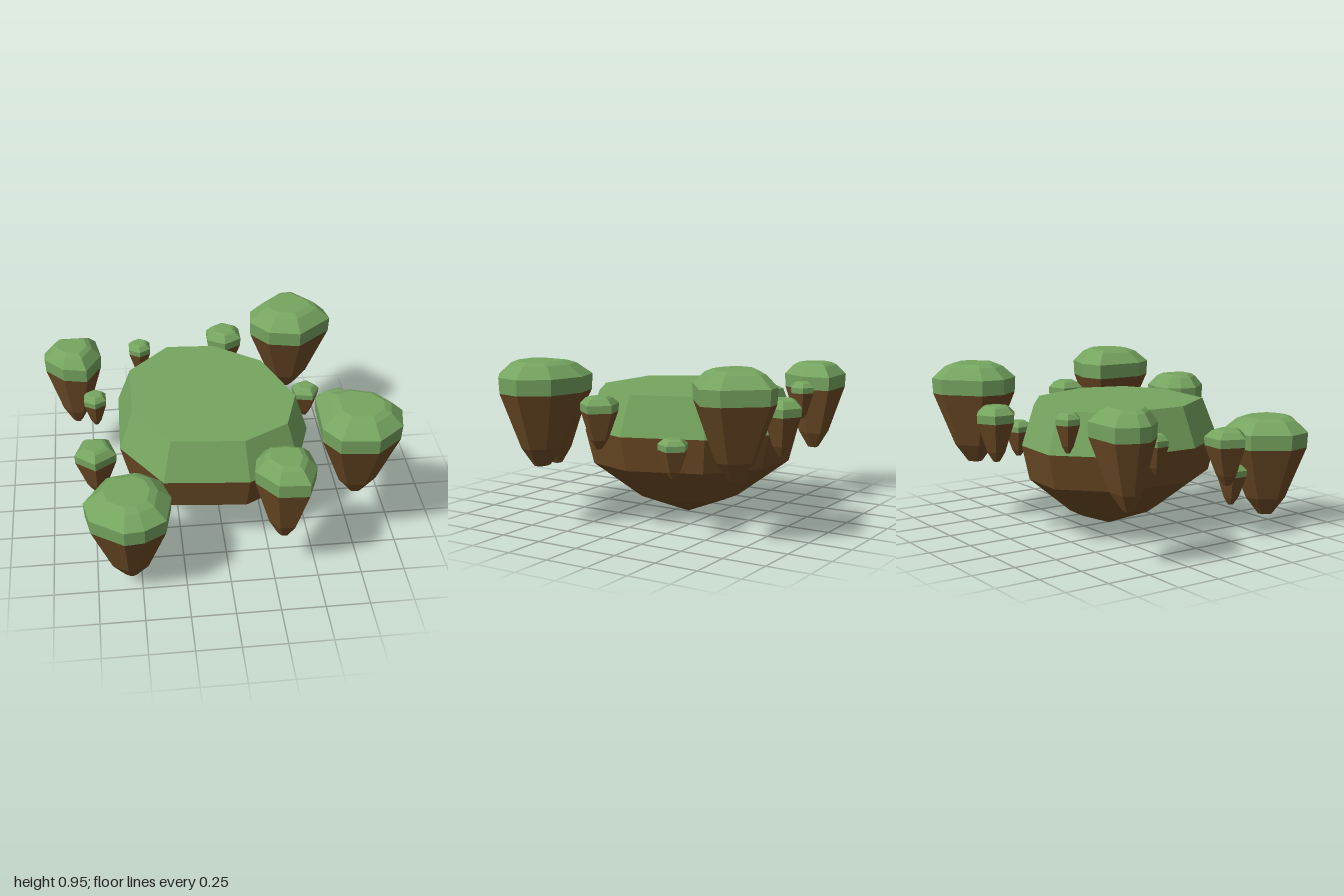
import * as THREE from 'three';

const grassMat = new THREE.MeshStandardMaterial({ color: 0x76a560, flatShading: true });
const dirtMat = new THREE.MeshStandardMaterial({ color: 0x6e4c26, flatShading: true });

// Closed faceted solid: an outline (x, z pairs, clockwise from above) scaled about a centre.
// sections run upward as [y, scale].
function loft(outline, [cx, cz], sections) {
  const n = outline.length;
  const rings = sections.map(([y, s]) =>
    outline.map(([x, z]) => [cx + (x - cx) * s, y, cz + (z - cz) * s]));
  const pos = [];
  const tri = (a, b, c) => pos.push(...a, ...b, ...c);
  const last = rings.length - 1;
  const bottom = [cx, sections[0][0], cz];
  const top = [cx, sections[last][0], cz];
  for (let i = 0; i < n; i++) {
    const j = (i + 1) % n;
    for (let r = 0; r < last; r++) {
      const a = rings[r], b = rings[r + 1];
      if (sections[r][1] > 0) tri(a[i], b[i], a[j]);
      tri(a[j], b[i], b[j]);
    }
    if (sections[0][1] > 0) tri(bottom, rings[0][i], rings[0][j]);
    tri(top, rings[last][j], rings[last][i]);
  }
  const g = new THREE.BufferGeometry();
  g.setAttribute('position', new THREE.Float32BufferAttribute(pos, 3));
  g.computeVertexNormals();
  return g;
}

// Grass cap on top of a dirt body
function island(name, outline, centre, dirt, grass) {
  const group = new THREE.Group();
  group.name = name;
  const body = new THREE.Mesh(loft(outline, centre, dirt), dirtMat);
  body.name = 'dirtBody';
  const cap = new THREE.Mesh(loft(outline, centre, grass), grassMat);
  cap.name = 'grassCap';
  group.add(body, cap);
  return group;
}

// Floating rock: tapered body and rounded cap between two heights
function rock(name, outline, y0, y1) {
  const xs = outline.map(p => p[0]), zs = outline.map(p => p[1]);
  const mid = a => (Math.min(...a) + Math.max(...a)) / 2;
  const at = f => y0 + (y1 - y0) * f;
  return island(name, outline, [mid(xs), mid(zs)],
    [[at(0), 0.17], [at(0.18), 0.48], [at(0.71), 0.98]],
    [[at(0.71), 0.98], [at(0.86), 1], [at(0.97), 0.7], [at(1), 0.52]]);
}

function polygon(x, z, r, n, turn) {
  return Array.from({ length: n }, (_, i) => {
    const a = turn + (i / n) * Math.PI * 2;
    return [x + r * Math.cos(a), z + r * Math.sin(a)];
  });
}

export function createModel() {
  const model = new THREE.Group();
  model.name = 'floatingIslands';

  // Main island
  const mainOutline = [[-0.29, -0.66], [0.04, -0.64], [0.36, -0.41], [0.53, 0.04], [0.43, 0.35],
    [0.13, 0.51], [-0.35, 0.465], [-0.58, 0.12], [-0.57, -0.385]];
  model.add(island('mainIsland', mainOutline, [-0.01, -0.08],
    [[0, 0], [0.105, 0.46], [0.32, 0.92], [0.52, 1]],
    [[0.52, 1], [0.75, 0.86]]));

  // Large and medium rocks: outline, bottom, top
  const large = [
    [[[0.53, 0.22], [0.68, 0.18], [0.88, 0.24], [0.99, 0.39], [0.96, 0.54], [0.81, 0.66],
      [0.6, 0.64], [0.52, 0.52]], 0.36, 0.95],
    [[[0.48, -0.92], [0.58, -0.93], [0.75, -0.73], [0.77, -0.62], [0.56, -0.45], [0.37, -0.49],
      [0.27, -0.62], [0.29, -0.75]], 0.36, 0.95],
    [[[-0.67, 0.45], [-0.48, 0.42], [-0.37, 0.5], [-0.32, 0.65], [-0.36, 0.84], [-0.48, 0.91],
      [-0.59, 0.92], [-0.77, 0.8], [-0.8, 0.65]], 0.065, 0.65],
    [[[0.15, 0.58], [0.2, 0.51], [0.32, 0.5], [0.45, 0.54], [0.47, 0.68], [0.41, 0.83],
      [0.24, 0.82], [0.13, 0.68]], 0.27, 0.81],
    [[[-1, -0.56], [-0.94, -0.67], [-0.69, -0.67], [-0.66, -0.5], [-0.75, -0.34],
      [-0.89, -0.37], [-1, -0.49]], 0.3, 0.84],
  ];
  large.forEach(([outline, y0, y1], i) => model.add(rock(`largeRock${i + 1}`, outline, y0, y1)));

  // Small rocks: x, z, radius, sides, turn, bottom, top
  const small = [
    [0.12, -0.76, 0.12, 6, Math.PI / 6, 0.43, 0.75],
    [-0.42, -0.62, 0.075, 6, Math.PI / 6, 0.55, 0.77],
    [-0.71, -0.25, 0.075, 6, Math.PI / 6, 0.44, 0.66],
    [0.585, -0.35, 0.088, 5, -0.1, 0.34, 0.56],
    [0.69, 0.06, 0.112, 5, 0, 0.48, 0.77],
    [-0.72, 0.23, 0.125, 5, 0.35, 0.32, 0.64],
    [-0.58, 0.39, 0.09, 5, 0, 0.16, 0.4],
  ];
  small.forEach(([x, z, r, n, turn, y0, y1], i) =>
    model.add(rock(`smallRock${i + 1}`, polygon(x, z, r, n, turn), y0, y1)));

  return model;
}
